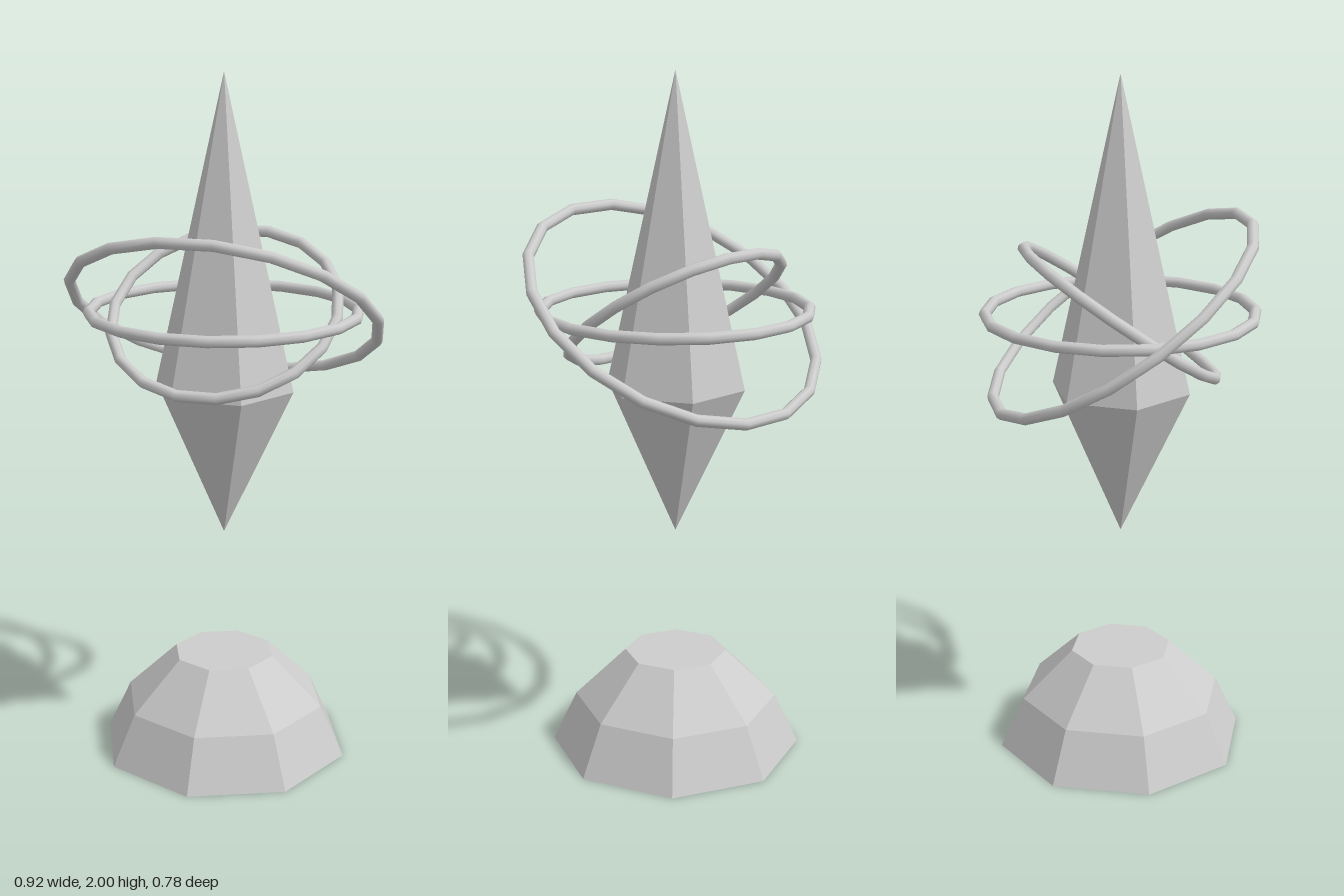
import * as THREE from 'three';

const CENTRE_Y = 1.337;

// Faceted solid of revolution from [radius, y] points, bottom to top
function faceted(profile, sides) {
  const points = profile.map(([r, y]) => new THREE.Vector2(r, y));
  const geometry = new THREE.LatheGeometry(points, sides).toNonIndexed();
  geometry.computeVertexNormals();
  return geometry;
}

export function createModel() {
  const group = new THREE.Group();
  const stone = new THREE.MeshStandardMaterial({ color: 0xcccccc });
  stone.name = 'pale grey';

  const add = (name, geometry) => {
    const mesh = new THREE.Mesh(geometry, stone);
    mesh.name = name;
    group.add(mesh);
    return mesh;
  };

  // Eight-sided domed pedestal with a flat top
  add('pedestal', faceted([[0, 0], [0.37, 0], [0.3, 0.15], [0.15, 0.295], [0, 0.295]], 8));

  // Floating six-sided crystal, corners on the x axis
  add('crystal', faceted([[0, 0.675], [0.205, 1.113], [0, 2]], 6).rotateY(Math.PI / 2));

  // Three rings around the crystal, tilted about the x axis
  const rings = [
    ['outerRing', 0.443, -35],
    ['middleRing', 0.382, 0],
    ['innerRing', 0.327, 35],
  ];
  for (const [name, radius, tilt] of rings) {
    const ring = add(name, new THREE.TorusGeometry(radius, 0.0165, 8, 18));
    ring.rotation.x = Math.PI / 2 + THREE.MathUtils.degToRad(tilt);
    ring.position.y = CENTRE_Y;
  }

  return group;
}
